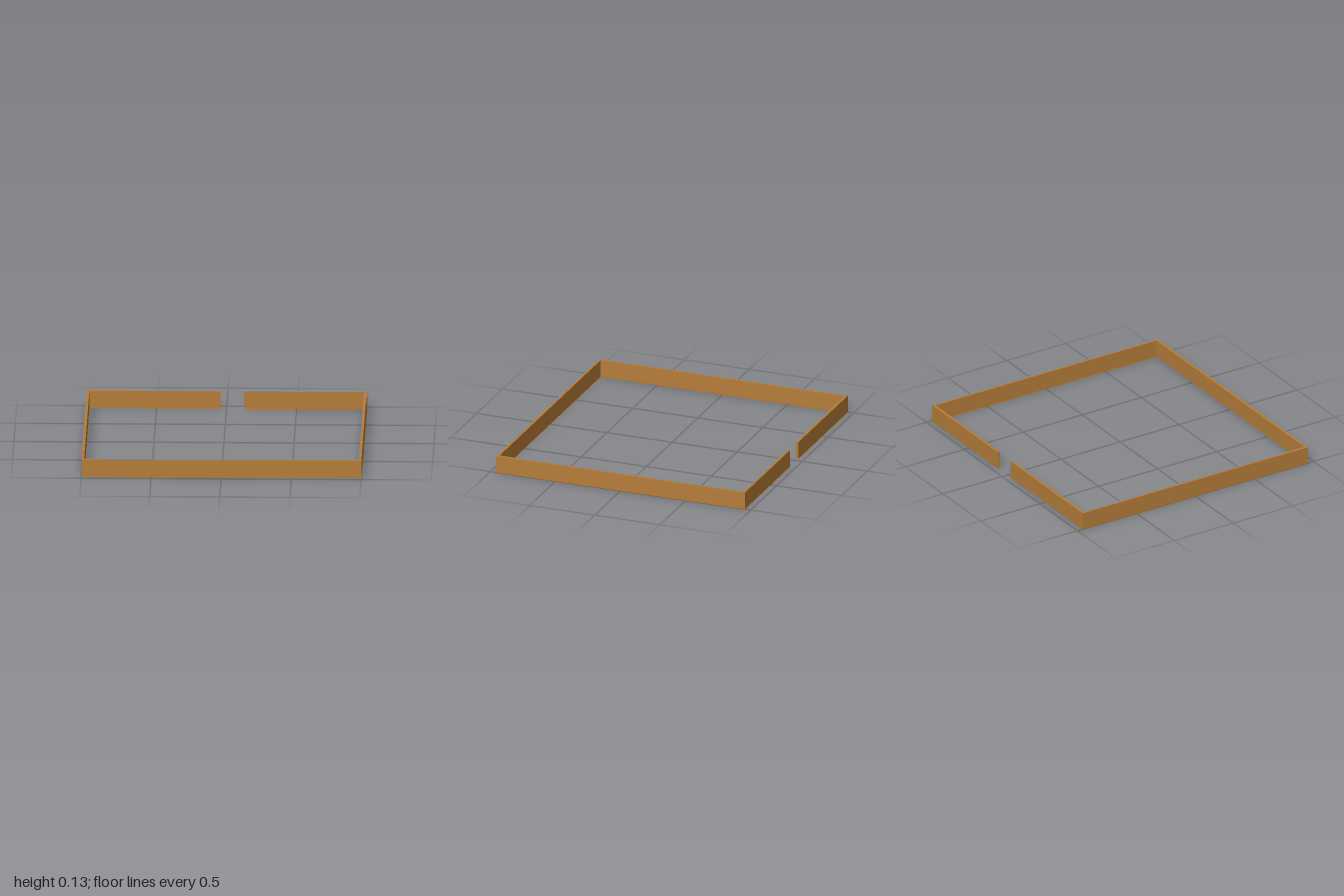
import * as THREE from 'three';

const W = 1, D = 0.955, H = 0.127, T = 0.02; // half width, half depth, height, wall thickness
const GAP = [-0.045, 0.125];                 // opening in the back wall

export function createModel() {
  const model = new THREE.Group();
  model.name = 'openFrame';
  const wood = new THREE.MeshStandardMaterial({ color: 0xb57d3a });
  wood.name = 'wood';

  // A wall standing on the ground, given by its extents in x and z
  const wall = (name, x0, x1, z0, z1) => {
    const mesh = new THREE.Mesh(new THREE.BoxGeometry(x1 - x0, H, z1 - z0), wood);
    mesh.position.set((x0 + x1) / 2, H / 2, (z0 + z1) / 2);
    mesh.name = name;
    model.add(mesh);
  };

  // Full-length side walls
  wall('leftWall', W - T, W, -D, D);
  wall('rightWall', -W, -W + T, -D, D);

  // Front wall, and back wall split by the opening
  wall('frontWall', -W + T, W - T, D - T, D);
  wall('backWallRight', -W + T, GAP[0], -D, -D + T);
  wall('backWallLeft', GAP[1], W - T, -D, -D + T);

  return model;
}
